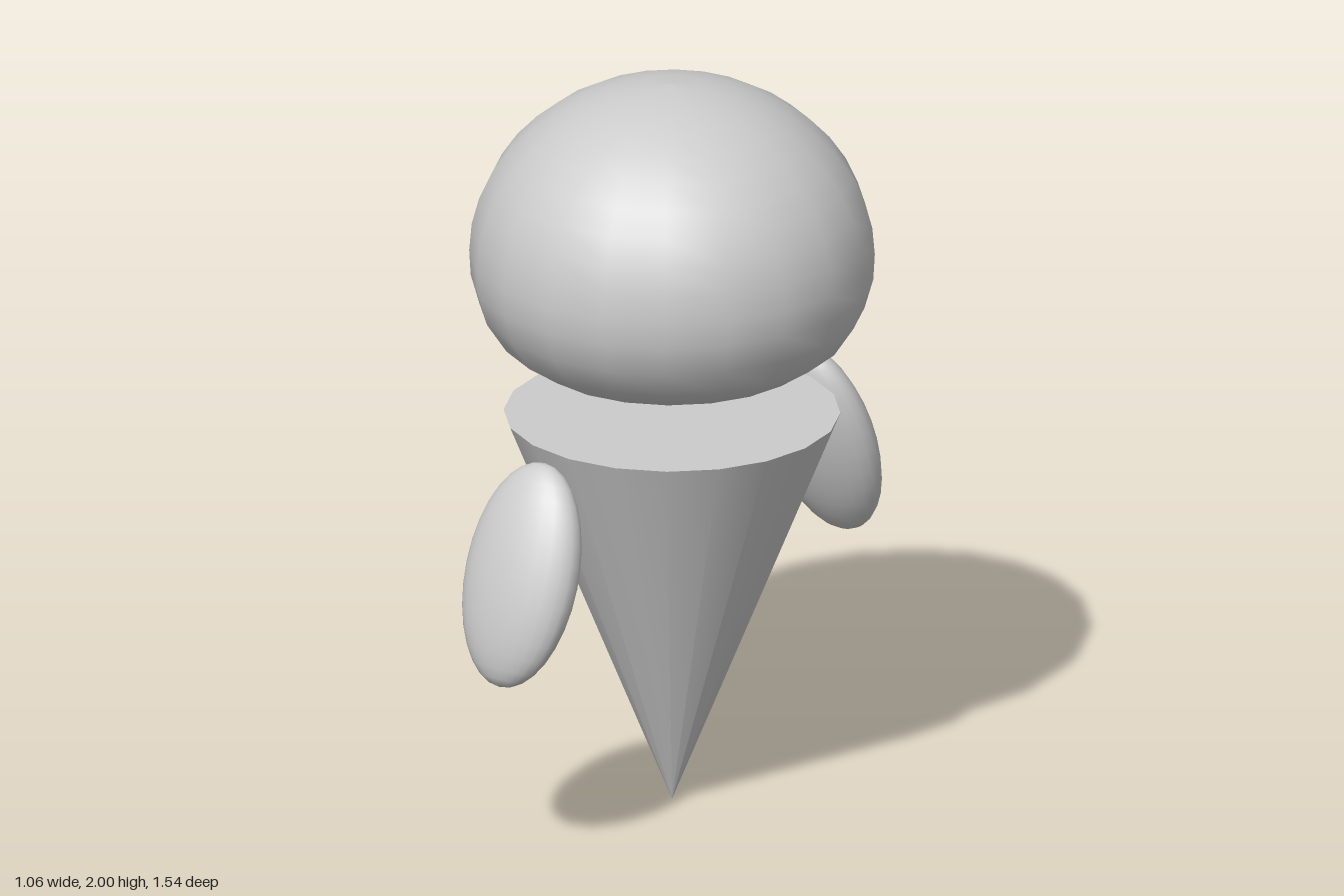
import * as THREE from 'three';

const material = new THREE.MeshStandardMaterial({ color: 0xcccccc });

function addPart(group, name, geometry) {
  const mesh = new THREE.Mesh(geometry, material);
  mesh.name = name;
  group.add(mesh);
  return mesh;
}

export function createModel() {
  const group = new THREE.Group();
  group.name = 'floatingFigure';

  // Head: domed top over a flattened underside, turned around y
  const radius = 0.53, middle = 1.53, domeHeight = 0.47;
  const profile = [
    [0, 1.195], [0.18, 1.21], [0.36, 1.24], [0.45, 1.3], [0.503, 1.38], [0.526, 1.46],
  ].map(([x, y]) => new THREE.Vector2(x, y));
  const steps = 10;
  for (let i = 0; i <= steps; i++) {
    const a = (i / steps) * Math.PI / 2;
    const x = i === steps ? 0 : radius * Math.cos(a);
    profile.push(new THREE.Vector2(x, middle + domeHeight * Math.sin(a)));
  }
  addPart(group, 'head', new THREE.LatheGeometry(profile, 20));

  // Body: closed cone standing on its tip
  const height = 1.085;
  const body = addPart(group, 'body', new THREE.CylinderGeometry(0.44, 0, height, 20));
  body.position.y = height / 2;

  // Arms: flat ovals leaning outward, one on each side along z
  for (const side of [1, -1]) {
    const arm = addPart(group, side > 0 ? 'frontArm' : 'backArm', new THREE.SphereGeometry(1, 24, 16));
    arm.scale.set(0.172, 0.3, 0.088);
    arm.position.set(0, 0.822, side * 0.64);
    arm.rotation.x = -side * 0.33;
  }

  return group;
}
